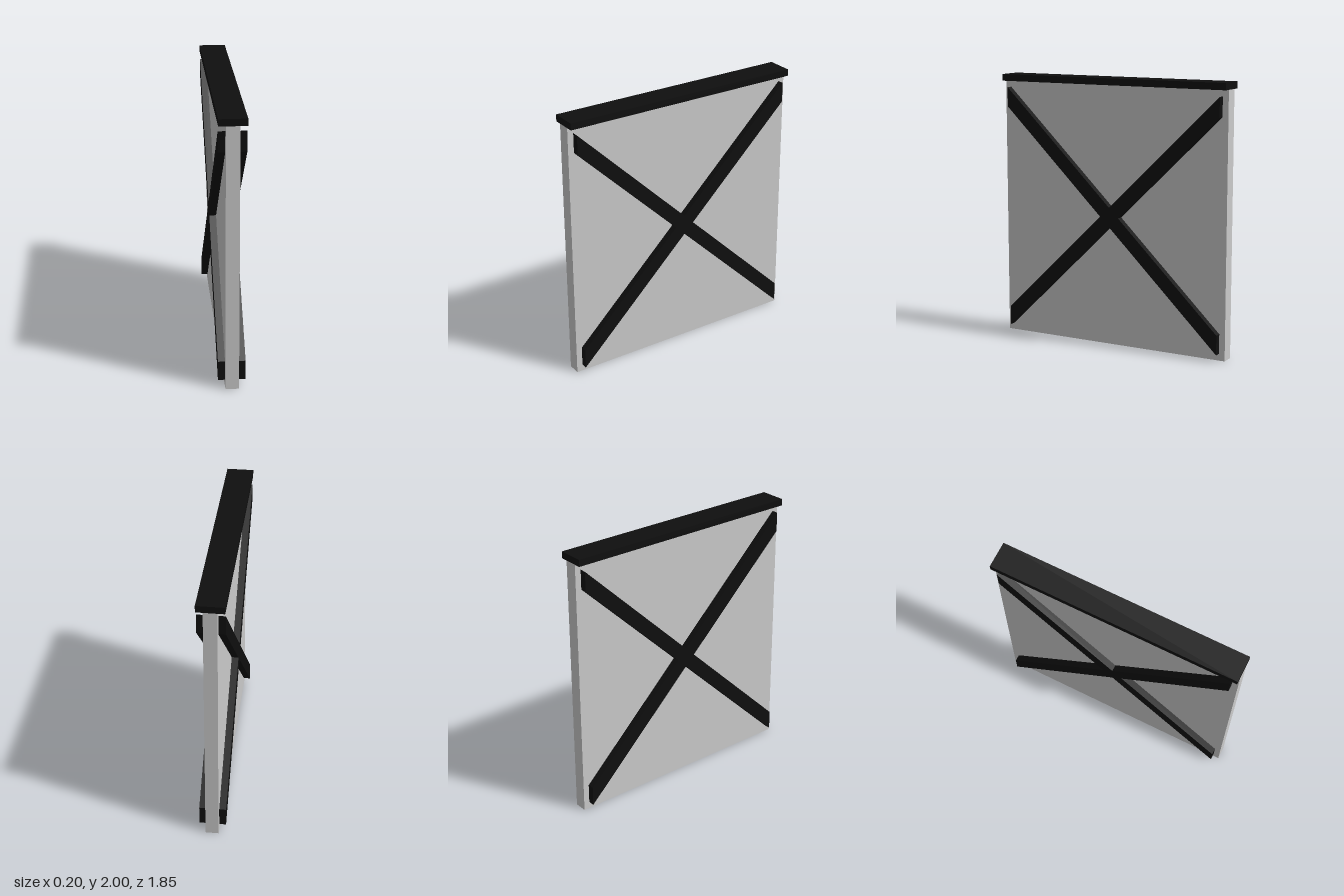
import * as THREE from 'three';

export function createModel() {
  const model = new THREE.Group();
  model.name = 'bracedWall';
  const grey = new THREE.MeshStandardMaterial({ color: 0xcccccc });
  const black = new THREE.MeshStandardMaterial({ color: 0x0f0f0f });

  const add = (name, geometry, material, x, y) => {
    const mesh = new THREE.Mesh(geometry, material);
    mesh.name = name;
    mesh.position.set(x, y, 0);
    model.add(mesh);
  };

  const panelX = 0.048, outerX = 0.098, length = 1.85, panelTop = 1.95;

  // Wall panel and the wider cap along its top
  add('panel', new THREE.BoxGeometry(panelX * 2, panelTop, length), grey, 0, panelTop / 2);
  add('topCap', new THREE.BoxGeometry(outerX * 2, 2 - panelTop, length), black, 0, (2 + panelTop) / 2);

  // Cross brace: two diagonal boards with upright cut ends, joined flush
  const end = 0.88;    // half width
  const rise = 0.853;  // centre line height at the ends
  const half = 0.073;  // half of a board's upright thickness
  const notch = half * end / rise;
  const outline = [
    [0, half], [end, rise + half], [end, rise - half],
    [notch, 0], [end, half - rise], [end, -rise - half],
    [0, -half], [-end, -rise - half], [-end, half - rise],
    [-notch, 0], [-end, rise - half], [-end, rise + half],
  ].map(([u, v]) => new THREE.Vector2(u, v));
  const depth = outerX - panelX;
  const brace = new THREE.ExtrudeGeometry(new THREE.Shape(outline), { depth, bevelEnabled: false });
  brace.translate(0, 0, -depth / 2).rotateY(Math.PI / 2);

  // One brace on each face of the panel
  for (const [name, side] of [['leftCrossBrace', 1], ['rightCrossBrace', -1]]) {
    add(name, brace, black, side * (panelX + depth / 2), 0.977);
  }
  return model;
}
